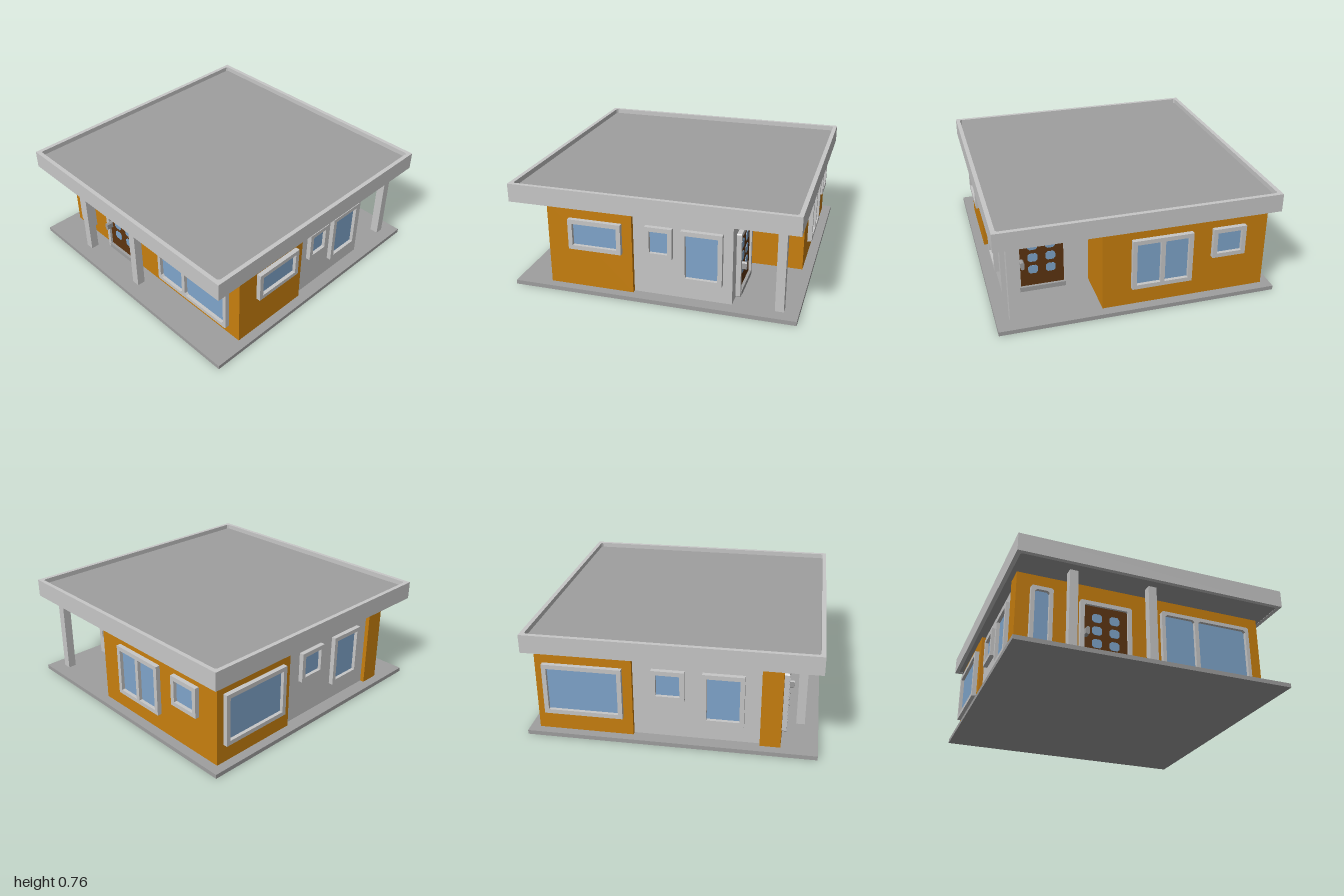
import * as THREE from 'three';

const mat = (name, color) => {
  const m = new THREE.MeshStandardMaterial({ color });
  m.name = name;
  return m;
};

export function createModel() {
  const ochre = mat('ochre wall', 0xc87f0e);
  const pale = mat('pale grey', 0xc7c7c7);
  const grey = mat('mid grey', 0x9f9f9f);
  const glass = mat('blue glass', 0x7fa5cb);
  const brown = mat('brown wood', 0x5e3510);
  const house = new THREE.Group();
  house.name = 'house';

  const add = (parent, name, geometry, material) => {
    const mesh = new THREE.Mesh(geometry, material);
    mesh.name = name;
    parent.add(mesh);
    return mesh;
  };

  // Box given by its limits on each axis
  const block = (parent, name, material, x0, x1, y0, y1, z0, z1) => {
    const g = new THREE.BoxGeometry(x1 - x0, y1 - y0, z1 - z0);
    g.translate((x0 + x1) / 2, (y0 + y1) / 2, (z0 + z1) / 2);
    return add(parent, name, g, material);
  };

  // Rectangle with cut corners of size c
  const rectPoints = (x0, x1, y0, y1, c = 0) => {
    const p = c > 0
      ? [[x0 + c, y0], [x1 - c, y0], [x1, y0 + c], [x1, y1 - c], [x1 - c, y1], [x0 + c, y1], [x0, y1 - c], [x0, y0 + c]]
      : [[x0, y0], [x1, y0], [x1, y1], [x0, y1]];
    return p.map(([x, y]) => new THREE.Vector2(x, y));
  };

  const plate = (outer, holes, depth) => {
    const shape = new THREE.Shape(outer);
    holes.forEach((h) => shape.holes.push(new THREE.Path(h)));
    return new THREE.ExtrudeGeometry(shape, { depth, bevelEnabled: false });
  };

  // Group on a wall: local x runs to the viewer's right, local z points outward
  const onWall = (name, x, z, turn) => {
    const g = new THREE.Group();
    g.name = name;
    g.position.set(x, 0, z);
    g.rotation.y = turn;
    house.add(g);
    return g;
  };

  // Ground slab
  block(house, 'groundSlab', grey, -0.985, 0.985, 0, 0.03, -1, 1);

  // Roof: pale fascia ring around a sunken deck
  const ring = plate(rectPoints(-0.985, 0.985, -1, 1), [rectPoints(-0.955, 0.955, -0.97, 0.97, 0.012)], 0.13);
  ring.rotateX(-Math.PI / 2);
  add(house, 'roofFascia', ring, pale).position.y = 0.635;
  block(house, 'roofDeck', grey, -0.957, 0.957, 0.637, 0.73, -0.972, 0.972);

  // Walls: pale core with ochre front and rear volumes standing slightly proud
  const W0 = 0.03, W1 = 0.637;
  block(house, 'coreWalls', pale, -0.89, 0.89, W0, W1, -0.55, 0.7);
  const footprint = [[-0.92, 0.75], [0.92, 0.75], [0.92, 0.14], [0, 0.14], [0, 0.61], [-0.92, 0.61]];
  const frontGeo = plate(footprint.map(([x, z]) => new THREE.Vector2(x, -z)), [], W1 - W0);
  frontGeo.rotateX(-Math.PI / 2);
  add(house, 'frontWalls', frontGeo, ochre).position.y = W0;
  block(house, 'rearWalls', ochre, -0.92, 0.26, W0, W1, -0.93, -0.26);

  // Porch posts
  [[-0.57, 0.875], [0, 0.875], [0.862, -0.87]].forEach(([x, z]) =>
    block(house, 'porchPost', pale, x - 0.03, x + 0.03, W0, W1, z - 0.03, z + 0.03));

  // Window: frame with one or more openings, glass set back inside
  const makeWindow = (parent, x0, x1, y0, y1, { rim = 0.031, cut = 0, mullions = [] } = {}) => {
    const stops = [x0 + rim, ...mullions.flatMap((m) => [m - 0.015, m + 0.015]), x1 - rim];
    const holes = [];
    for (let i = 0; i < stops.length; i += 2) {
      holes.push(rectPoints(stops[i], stops[i + 1], y0 + rim, y1 - rim, cut * 1.5));
    }
    add(parent, 'windowFrame', plate(rectPoints(x0, x1, y0, y1, cut), holes, 0.033), pale);
    block(parent, 'windowGlass', glass, x0 + 0.015, x1 - 0.015, y0 + 0.015, y1 - 0.015, 0, 0.008);
  };

  // Door, 0.375 wide, centred on local x = 0
  const makeDoor = (parent) => {
    const frame = plate(rectPoints(-0.187, 0.187, 0.03, 0.505, 0.008),
      [rectPoints(-0.157, 0.157, 0.05, 0.475, 0.008)], 0.033);
    add(parent, 'doorFrame', frame, pale);
    block(parent, 'doorLeaf', brown, -0.165, 0.165, 0.05, 0.485, 0, 0.016);
    block(parent, 'doorSill', grey, -0.165, 0.165, 0.03, 0.065, 0, 0.036);
    for (const x of [-0.063, 0.063]) {
      for (const y of [0.195, 0.29, 0.385]) {
        const pane = plate(rectPoints(x - 0.035, x + 0.035, y - 0.032, y + 0.032, 0.014), [], 0.005);
        add(parent, 'doorPane', pane, glass).position.z = 0.015;
      }
    }
    const handle = plate(rectPoints(-0.158, -0.13, 0.23, 0.287, 0.008), [], 0.052);
    add(parent, 'doorHandle', handle, grey).position.z = 0.014;
  };

  // Front openings
  const front = onWall('frontOpenings', 0, 0.75, 0);
  makeWindow(front, -0.825, -0.67, 0.095, 0.54, { rim: 0.027, cut: 0.01 });
  makeWindow(front, 0.125, 0.825, 0.095, 0.54, { rim: 0.027, cut: 0.01, mullions: [0.397] });

  // Doors
  makeDoor(onWall('frontDoor', -0.292, 0.75, 0));
  makeDoor(onWall('rearDoor', 0.6, -0.55, Math.PI));

  // Left side openings (local x = -z)
  makeWindow(onWall('leftOchreOpening', 0.92, 0, Math.PI / 2), -0.59, -0.21, 0.32, 0.54);
  const leftCore = onWall('leftCoreOpenings', 0.89, 0, Math.PI / 2);
  makeWindow(leftCore, -0.05, 0.14, 0.32, 0.54);
  makeWindow(leftCore, 0.2, 0.485, 0.165, 0.54);

  // Right side openings (local x = z)
  makeWindow(onWall('rightOchreOpening', -0.92, 0, -Math.PI / 2), -0.875, -0.325, 0.165, 0.54);
  const rightCore = onWall('rightCoreOpenings', -0.89, 0, -Math.PI / 2);
  makeWindow(rightCore, -0.13, 0.095, 0.32, 0.54);
  makeWindow(rightCore, 0.215, 0.5, 0.165, 0.54);

  // Rear openings (local x = -x)
  const rear = onWall('rearOpenings', 0, -0.93, Math.PI);
  makeWindow(rear, -0.06, 0.37, 0.165, 0.54, { mullions: [0.155] });
  makeWindow(rear, 0.515, 0.755, 0.32, 0.54);

  return house;
}
